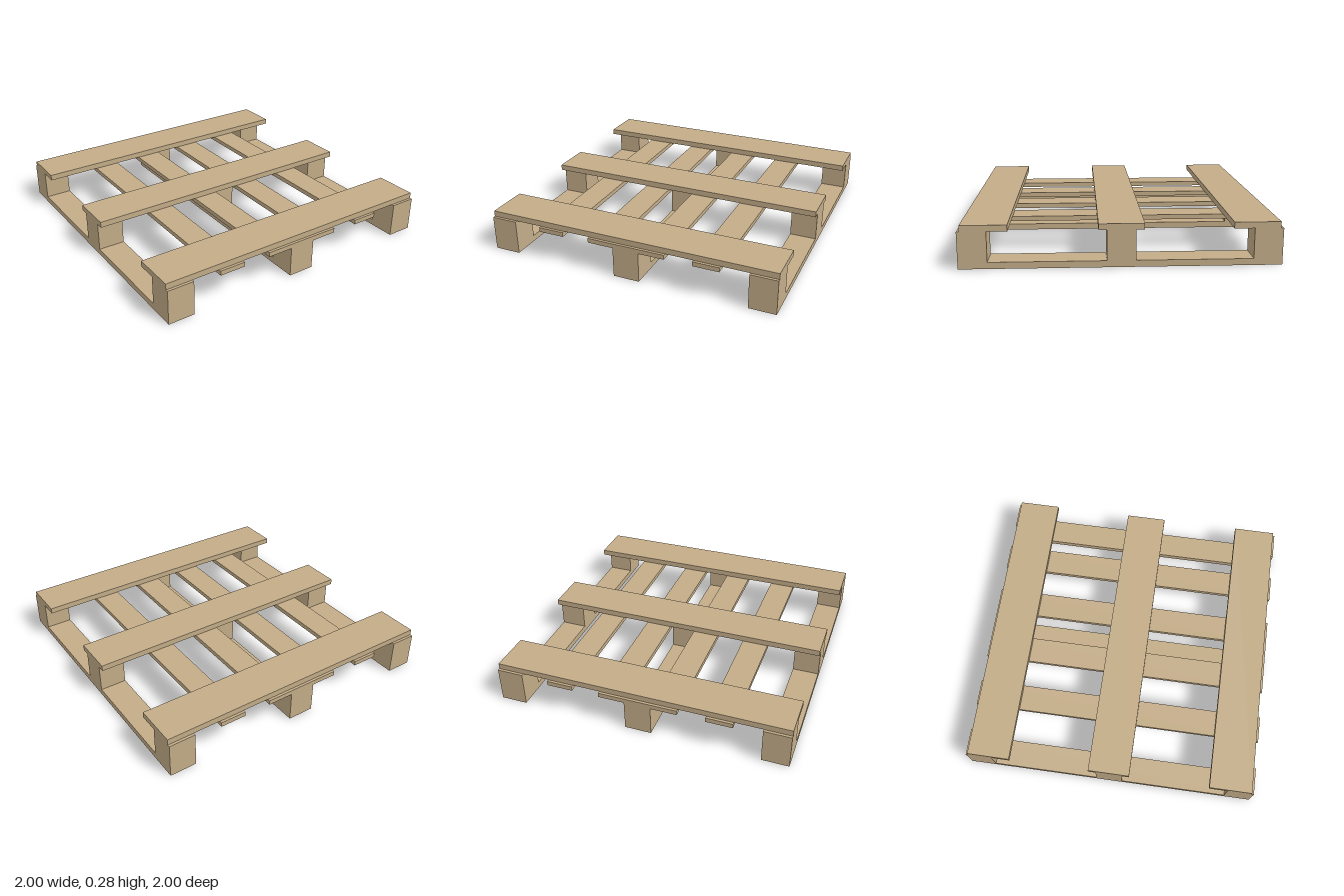
import * as THREE from 'three';

export function createModel() {
  const pallet = new THREE.Group();
  pallet.name = 'pallet';
  const wood = new THREE.MeshStandardMaterial({ color: 0xc3ac88 });
  wood.name = 'pale wood';

  // Heights of the layers, from the ground up
  const BASE = 0.042, SLAT = 0.205, DECK = 0.236, TOP = 0.276;

  // Adds a box given by its limits on each axis
  function board(name, [x0, x1], [y0, y1], [z0, z1]) {
    const geometry = new THREE.BoxGeometry(x1 - x0, y1 - y0, z1 - z0);
    const mesh = new THREE.Mesh(geometry, wood);
    mesh.name = name;
    mesh.position.set((x0 + x1) / 2, (y0 + y1) / 2, (z0 + z1) / 2);
    pallet.add(mesh);
  }

  const edges = [[-1, -0.82], [-0.09, 0.09], [0.82, 1]];

  // Three bottom runners, each carrying three blocks
  for (const x of edges) {
    board('bottomRunner', x, [0, BASE], [-1, 1]);
    for (const z of edges) board('block', x, [BASE, DECK], z);
  }

  // Slats under the deck, mirrored left and right
  for (const [inner, outer] of [[0.09, 0.268], [0.455, 0.633]]) {
    board('leftSlat', [inner, outer], [SLAT, DECK], [-1, 1]);
    board('rightSlat', [-outer, -inner], [SLAT, DECK], [-1, 1]);
  }

  // Three wide deck boards across the top
  for (const z of [[-0.982, -0.692], [-0.142, 0.142], [0.692, 0.982]]) {
    board('deckBoard', [-1, 1], [DECK, TOP], z);
  }

  return pallet;
}
